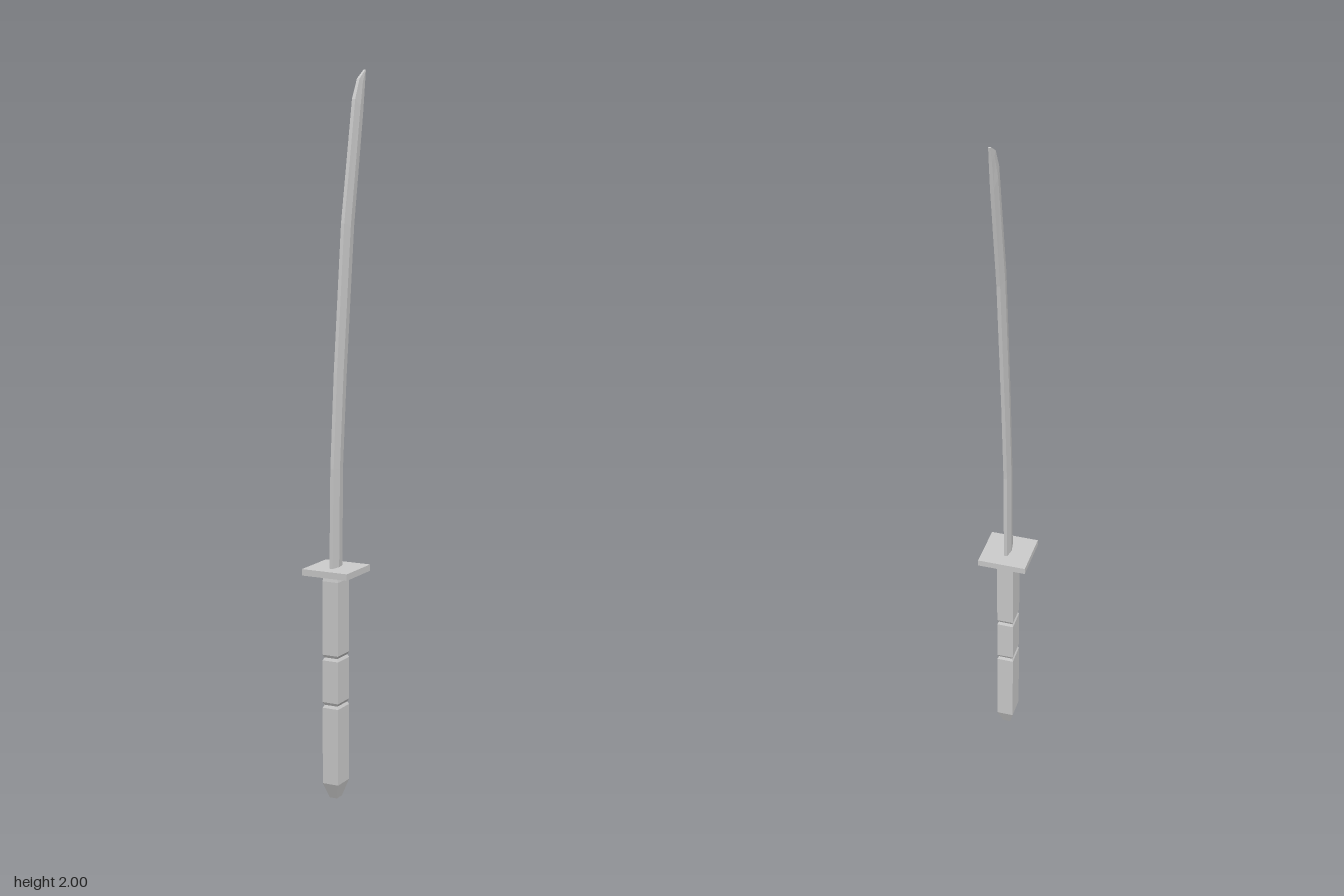
import * as THREE from 'three';

const material = new THREE.MeshStandardMaterial({ color: 0xcccccc, flatShading: true });

// Skins a stack of rings (each counter-clockwise seen from above) and caps both ends.
function loft(name, rings) {
  const n = rings[0].length;
  const index = [];
  for (let k = 0; k < rings.length - 1; k++) {
    for (let i = 0; i < n; i++) {
      const j = (i + 1) % n;
      const a = k * n + i, b = k * n + j;
      index.push(a, b, b + n, a, b + n, a + n);
    }
  }
  const top = (rings.length - 1) * n;
  for (let i = 1; i < n - 1; i++) {
    index.push(0, i + 1, i, top, top + i, top + i + 1);
  }
  const geometry = new THREE.BufferGeometry();
  geometry.setAttribute('position', new THREE.Float32BufferAttribute(rings.flat(2), 3));
  geometry.setIndex(index);
  const flat = geometry.toNonIndexed();
  flat.computeVertexNormals();
  const mesh = new THREE.Mesh(flat, material);
  mesh.name = name;
  return mesh;
}

// Six-sided blade section: narrow flats front and back, ridge on each side.
function bladeRing([frontY, frontZ, backY, backZ, flat, ridge]) {
  const midY = (frontY + backY) / 2, midZ = (frontZ + backZ) / 2;
  return [
    [flat, frontY, frontZ], [ridge, midY, midZ], [flat, backY, backZ],
    [-flat, backY, backZ], [-ridge, midY, midZ], [-flat, frontY, frontZ],
  ];
}

// Rectangular handle section.
function gripRing([y, halfX, halfZ]) {
  const z = 0.051;
  return [
    [-halfX, y, z + halfZ], [halfX, y, z + halfZ],
    [halfX, y, z - halfZ], [-halfX, y, z - halfZ],
  ];
}

export function createModel() {
  const group = new THREE.Group();
  group.name = 'sword';

  // Curved blade: front y, front z, back y, back z, flat half width, ridge half width
  group.add(loft('blade', [
    [0.645, 0.079, 0.645, 0.022, 0.005, 0.01],
    [0.93, 0.073, 0.93, 0.018, 0.005, 0.01],
    [1.19, 0.053, 1.18, -0.003, 0.005, 0.01],
    [1.59, 0.011, 1.58, -0.046, 0.005, 0.01],
    [1.92, -0.052, 1.88, -0.098, 0.005, 0.009],
    [1.975, -0.079, 1.96, -0.111, 0.004, 0.006],
    [2.0, -0.116, 1.998, -0.118, 0.003, 0.003],
  ].map(bladeRing)));

  // Square guard
  const guard = new THREE.Mesh(new THREE.BoxGeometry(0.138, 0.018, 0.138), material);
  guard.name = 'guard';
  guard.position.set(0, 0.647, 0.049);
  group.add(guard);

  // Handle with two thin grooves, a tapered pommel and a tapered collar
  const x = 0.024, z = 0.033;
  const groove = (y) => [[y - 0.008, x, z], [y, x - 0.004, z - 0.004], [y + 0.008, x, z]];
  group.add(loft('handle', [
    [0, 0.011, 0.015],
    [0.045, x, z],
    ...groove(0.27),
    ...groove(0.405),
    [0.62, x, z],
    [0.64, x - 0.004, z - 0.004],
  ].map(gripRing)));

  return group;
}
